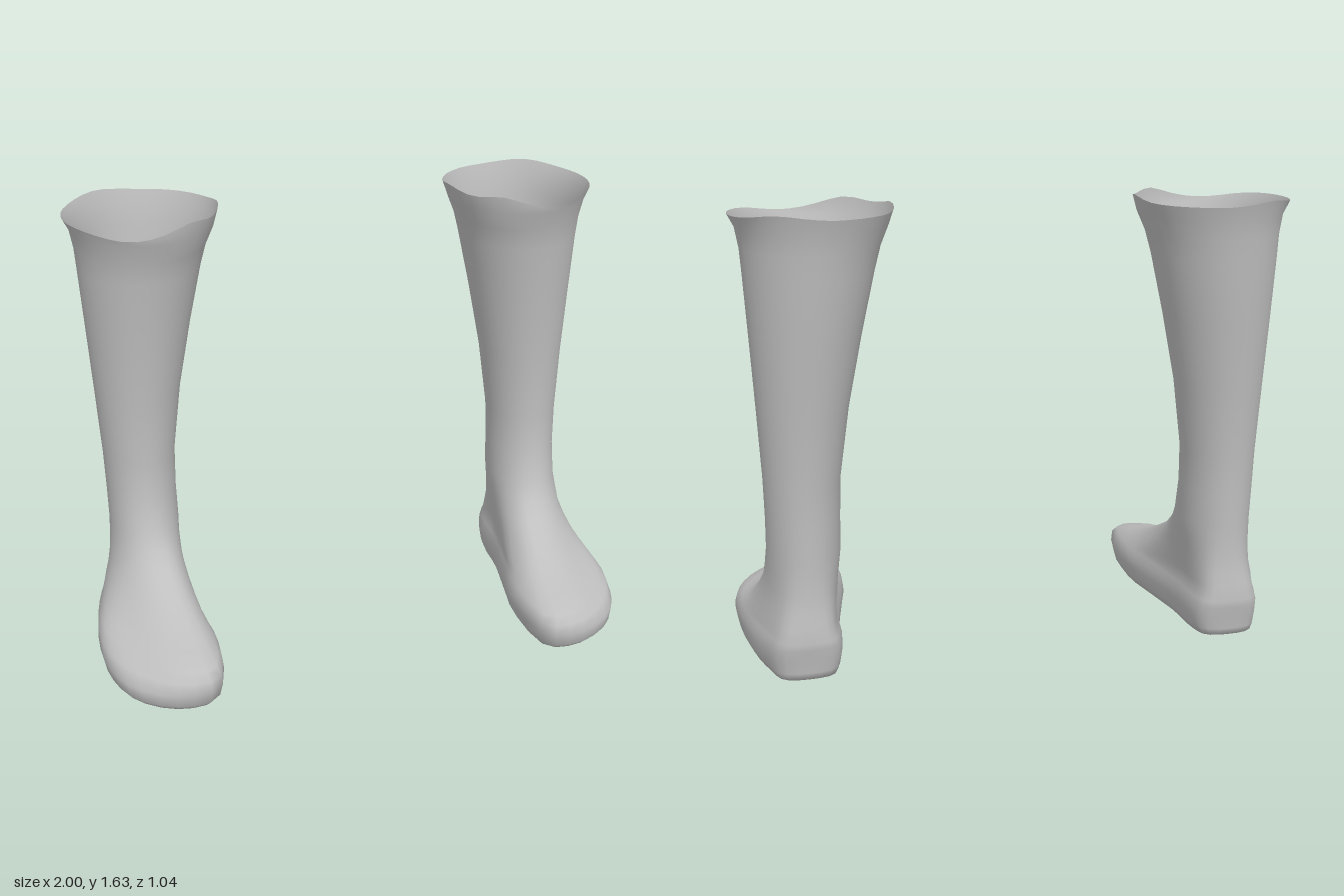
import * as THREE from 'three';

// Foot outline in unit space, from the heel round the outer side: [across -1..1, along 0..1]
const FOOT = [
  [-0.05, 0], [0.43, 0.02], [0.64, 0.12], [0.86, 0.29], [1, 0.55], [0.93, 0.76], [0.6, 0.92],
  [-0.1, 0.99], [-0.78, 0.97], [-1, 0.71], [-0.86, 0.5], [-0.69, 0.28], [-0.64, 0.1], [-0.5, 0.02],
];

// Level slices: y, back z, front z, inner x, outer x, foot shape 0..1, toe slant
const SLICES = [
  [0, -0.37, 0.45, 0.63, 0.95, 1, 0.05],
  [0.005, -0.395, 0.49, 0.605, 0.975, 1, 0.05],
  [0.03, -0.4, 0.515, 0.59, 0.99, 1, 0.05],
  [0.08, -0.405, 0.525, 0.578, 1.0, 1, 0.06],
  [0.12, -0.415, 0.523, 0.582, 0.995, 1, 0.12],
  [0.145, -0.415, 0.5, 0.595, 0.98, 0.98, 0.22],
  [0.17, -0.412, 0.4, 0.61, 0.965, 0.92, 0.24],
  [0.2, -0.41, 0.285, 0.62, 0.95, 0.82, 0.22],
  [0.25, -0.4, 0.175, 0.63, 0.93, 0.6, 0.18],
  [0.31, -0.395, 0.065, 0.638, 0.912, 0.35, 0.1],
  [0.37, -0.393, 0.005, 0.64, 0.905, 0.15, 0.03],
  [0.43, -0.393, -0.035, 0.64, 0.9, 0, 0],
  [0.55, -0.395, -0.07, 0.64, 0.9, 0, 0],
  [0.7, -0.4, -0.08, 0.635, 0.903, 0, 0],
  [0.95, -0.425, -0.07, 0.6, 0.915, 0, 0],
  [1.2, -0.46, -0.04, 0.55, 0.928, 0, 0],
  [1.42, -0.487, -0.012, 0.5, 0.94, 0, 0],
  [1.5, -0.495, 0.005, 0.478, 0.945, 0, 0],
  [1.57, -0.508, 0.03, 0.448, 0.957, 0, 0],
  [1.615, -0.522, 0.035, 0.43, 0.98, 0, 0],
];
const SIDES = 36;

const bump = (a, at, width) => Math.exp(-(((a - at) / width) ** 2));

// Uneven top edge: a dip in front with peaks beside it
const rimWave = (a) =>
  -0.026 * bump(a, 2.9, 0.5) + 0.018 * bump(a, 3.7, 0.3) + 0.018 * bump(a, 4.6, 0.35) + 0.016 * bump(a, 0.5, 0.4);

function ring([y, zBack, zFront, xIn, xOut, foot, slant]) {
  const points = FOOT.map(([u, v], i) => {
    const a = (i / FOOT.length) * Math.PI * 2;
    const across = THREE.MathUtils.lerp(Math.sin(a), u, foot);
    let along = THREE.MathUtils.lerp((1 - Math.cos(a)) / 2, v, foot);
    along -= slant * Math.max(0, across + 0.3) * along * along;
    return new THREE.Vector3((xIn + xOut) / 2 + (across * (xOut - xIn)) / 2, y, zBack + along * (zFront - zBack));
  });
  const curve = new THREE.CatmullRomCurve3(points, true);
  return Array.from({ length: SIDES }, (_, i) => curve.getPoint(i / SIDES));
}

// One hollow boot, lofted through the slices and closed by a sole
function bootGeometry(side) {
  const positions = [];
  const index = [];
  const face = (a, b, c) => index.push(...(side > 0 ? [a, b, c] : [a, c, b]));
  SLICES.forEach((slice, row) => {
    ring(slice).forEach((p, i) => {
      const a = (i / SIDES) * Math.PI * 2;
      const lift = row === SLICES.length - 1 ? rimWave(a) : 0;
      positions.push(side * p.x, p.y + lift, p.z);
    });
  });
  for (let row = 0; row < SLICES.length - 1; row++) {
    for (let i = 0; i < SIDES; i++) {
      const a = row * SIDES + i;
      const b = row * SIDES + ((i + 1) % SIDES);
      face(a, a + SIDES, b);
      face(b, a + SIDES, b + SIDES);
    }
  }
  const centre = positions.length / 3;
  positions.push(side * 0.78, 0, 0.03);
  for (let i = 0; i < SIDES; i++) face(centre, i, (i + 1) % SIDES);

  const geometry = new THREE.BufferGeometry();
  geometry.setAttribute('position', new THREE.Float32BufferAttribute(positions, 3));
  geometry.setIndex(index);
  geometry.computeVertexNormals();
  return geometry;
}

export function createModel() {
  const group = new THREE.Group();
  group.name = 'boots';
  const grey = new THREE.MeshStandardMaterial({ color: 0xbfbfbf, side: THREE.DoubleSide });
  grey.name = 'light grey';
  for (const [name, side] of [['leftBoot', 1], ['rightBoot', -1]]) {
    const boot = new THREE.Mesh(bootGeometry(side), grey);
    boot.name = name;
    group.add(boot);
  }
  return group;
}
